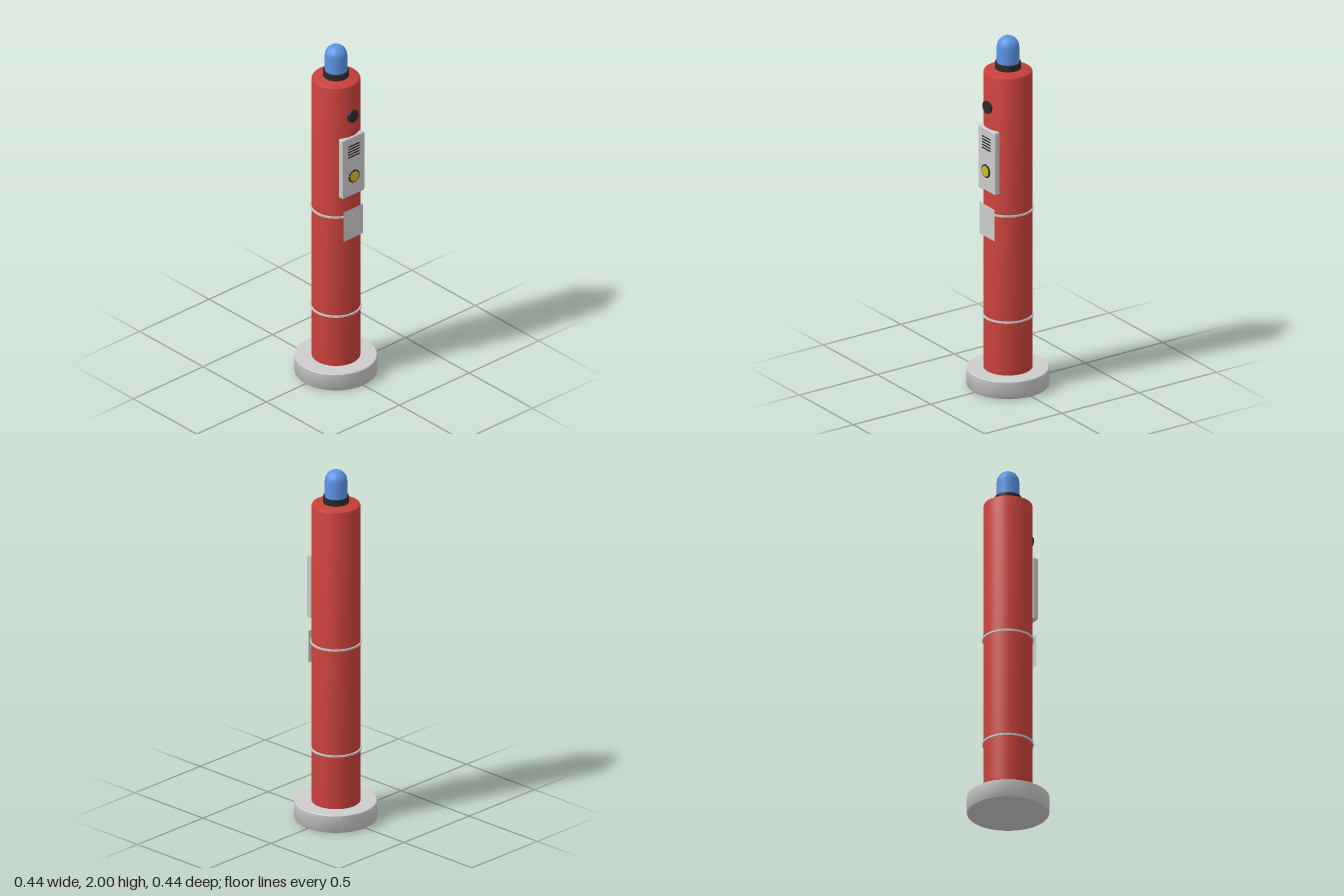
import * as THREE from 'three';
import { RoundedBoxGeometry } from 'three/addons/geometries/RoundedBoxGeometry.js';
import { toCreasedNormals } from 'three/addons/utils/BufferGeometryUtils.js';

export function createModel() {
  const group = new THREE.Group();
  const mat = (color, extra = {}) => new THREE.MeshStandardMaterial({ color, ...extra });
  const red = mat(0xc8403a);
  const grey = mat(0xcccccc);
  const greyThin = mat(0xcccccc, { side: THREE.DoubleSide });
  const black = mat(0x2b2b2b);
  const blue = mat(0x5b93e6);
  const yellow = mat(0xd4b427);

  function add(name, geometry, material, x = 0, y = 0, z = 0) {
    const mesh = new THREE.Mesh(geometry, material);
    mesh.name = name;
    mesh.position.set(x, y, z);
    group.add(mesh);
    return mesh;
  }
  const lathe = (points, segments) => toCreasedNormals(
    new THREE.LatheGeometry(points.map(([r, y]) => new THREE.Vector2(r, y)), segments), 0.7);

  // Round foot with a small bevel
  add('base', lathe([[0, 0], [0.217, 0], [0.22, 0.004], [0.22, 0.096], [0.216, 0.1], [0, 0.1]], 32), grey);

  // Tall column with softened top edge
  add('column', lathe([[0, 0.1], [0.13, 0.1], [0.13, 1.797], [0.127, 1.804],
    [0.119, 1.808], [0, 1.81]], 48), red);

  // Thin bands around the column
  for (const y of [0.405, 1.015]) {
    add('band', lathe([[0.129, -0.005], [0.137, -0.005], [0.137, 0.005], [0.129, 0.005]], 48), grey, 0, y);
  }

  // Beacon: neck, collar and domed lamp
  add('beaconNeck', new THREE.CylinderGeometry(0.045, 0.045, 0.02, 32), black, 0, 1.815);
  add('beaconCollar', new THREE.CylinderGeometry(0.07, 0.07, 0.034, 32), black, 0, 1.834);
  const dome = [[0.06, 1.85]];
  for (let i = 0; i <= 8; i++) {
    const a = (i / 8) * Math.PI / 2;
    dome.push([0.06 * Math.cos(a), 1.94 + 0.06 * Math.sin(a)]);
  }
  add('beaconLamp', lathe(dome, 32), blue);

  // Discs facing forward
  function disc(name, radius, depth, material, y, frontZ) {
    const geometry = new THREE.CylinderGeometry(radius, radius, depth, 32).rotateX(Math.PI / 2);
    return add(name, geometry, material, 0, y, frontZ - depth / 2);
  }
  disc('cameraLens', 0.035, 0.025, black, 1.62, 0.141);

  // Call panel with speaker slots and button
  add('callPanel', new RoundedBoxGeometry(0.16, 0.36, 0.034, 3, 0.008), grey, 0, 1.318, 0.123);
  for (let i = 0; i < 5; i++) {
    add('speakerSlot', new THREE.BoxGeometry(0.08, 0.007, 0.004), black, 0, 1.38 + i * 0.0165, 0.1395);
  }
  disc('buttonRing', 0.037, 0.02, black, 1.255, 0.146);
  disc('callButton', 0.03, 0.02, yellow, 1.255, 0.149);

  // Flat notice plate
  add('noticePlate', new THREE.PlaneGeometry(0.14, 0.182), greyThin, 0, 0.963, 0.1345);

  return group;
}
